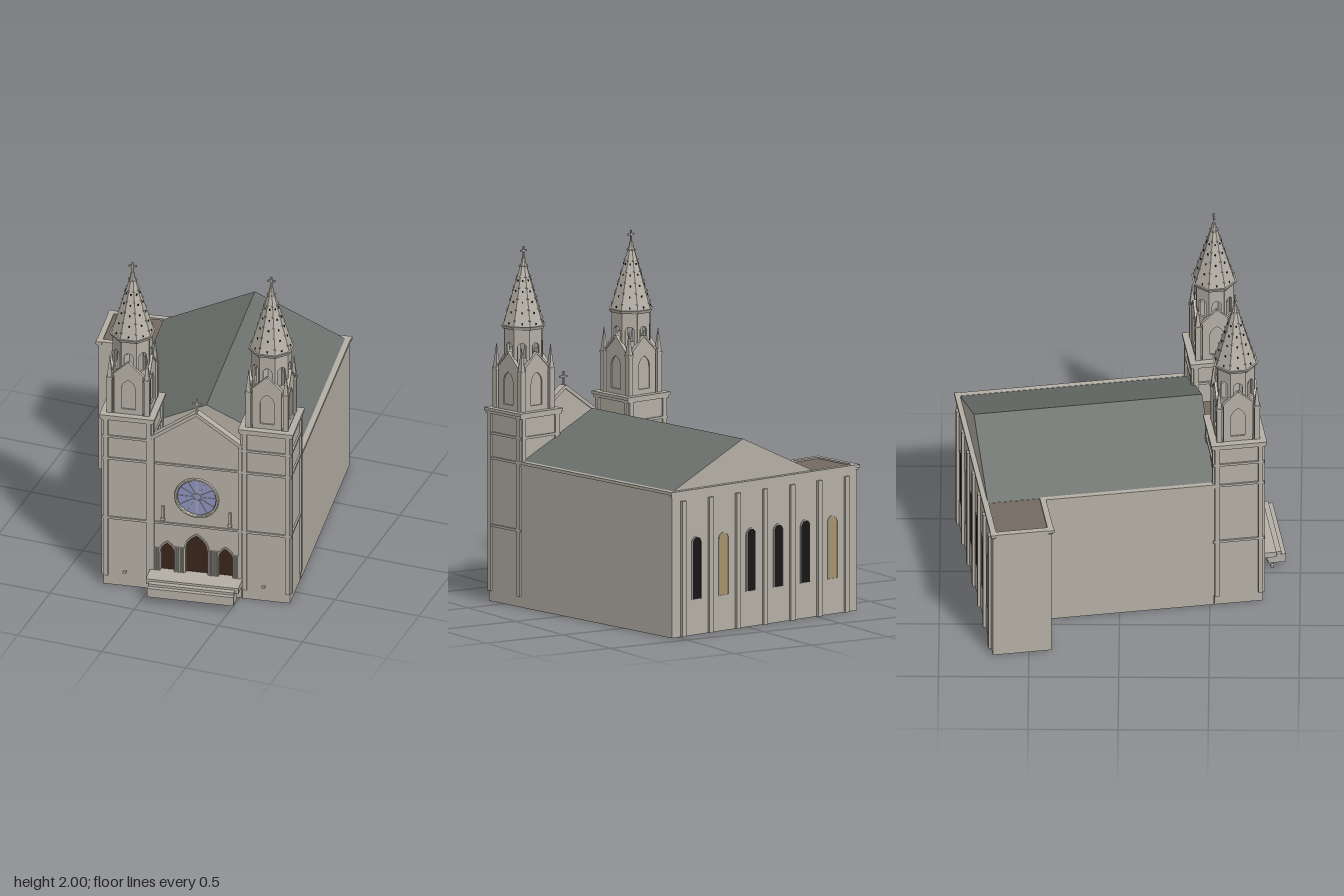
import * as THREE from 'three';

const mat = (color) => new THREE.MeshStandardMaterial({ color, flatShading: true, side: THREE.DoubleSide });
const STONE = mat(0xb5b0a6), ROOF = mat(0x6c716d), FLAT = mat(0x736a60), DOOR = mat(0x3a251c);
const GLASS = mat(0x8d93c0), TAN = mat(0xa8946c), BLACK = mat(0x161616), NICHE = mat(0x9c8f80);
const MID = 0.145, TOWERS = [-0.247, 0.54], TZ = 0.608;

function add(parent, name, geo, m, x = 0, y = 0, z = 0) {
  const mesh = new THREE.Mesh(geo, m);
  mesh.name = name;
  mesh.position.set(x, y, z);
  parent.add(mesh);
  return mesh;
}
// box given by its centre in x and z, and its bottom and top
function box(parent, name, m, x, z, w, d, y0, y1) {
  return add(parent, name, new THREE.BoxGeometry(w, y1 - y0, d), m, x, (y0 + y1) / 2, z);
}
function group(parent, name, x = 0, y = 0, z = 0) {
  const g = new THREE.Group();
  g.name = name;
  g.position.set(x, y, z);
  parent.add(g);
  return g;
}
const poly = (pts) => new THREE.Shape(pts.map(([x, y]) => new THREE.Vector2(x, y)));
const extrude = (shape, depth) => new THREE.ExtrudeGeometry(shape, { depth, bevelEnabled: false, curveSegments: 10 });
// arched outline, round or pointed, standing on (cx, y0)
function arch(w, h, pointed, cx = 0, y0 = 0) {
  const s = new THREE.Shape(), r = w / 2;
  s.moveTo(cx - r, y0);
  s.lineTo(cx + r, y0);
  if (pointed) {
    s.lineTo(cx + r, y0 + h - w * 0.8);
    s.quadraticCurveTo(cx + r, y0 + h - w * 0.25, cx, y0 + h);
    s.quadraticCurveTo(cx - r, y0 + h - w * 0.25, cx - r, y0 + h - w * 0.8);
  } else {
    s.lineTo(cx + r, y0 + h - r);
    s.absarc(cx, y0 + h - r, r, 0, Math.PI, false);
  }
  s.closePath();
  return s;
}
function archFrame(w, h, pointed, t) {
  const s = arch(w + 2 * t, h + t, pointed);
  s.holes.push(arch(w, h - 0.002, pointed, 0, 0.002));
  return s;
}
function cross(parent, x, y, z, h) {
  const g = group(parent, 'cross', x, y, z);
  box(g, 'crossPost', STONE, 0, 0, 0.009, 0.009, 0, h);
  box(g, 'crossArm', STONE, 0, 0, h * 0.65, 0.009, h * 0.6, h * 0.6 + 0.009);
}
function tallWindow(parent, m, x, z, turn) {
  const g = group(parent, 'window', x, 0.2, z);
  g.rotation.y = turn;
  add(g, 'windowPane', extrude(arch(0.062, 0.35), 0.003), m);
  add(g, 'windowFrame', extrude(archFrame(0.062, 0.35, false, 0.006), 0.006), STONE);
}

function buildNave(g) {
  // walls and their cornice, as straight runs [x, z, length, alongX]
  const runs = [[0.0015, -0.81, 1.353, 1], [0.673, -0.17, 1.28, 0], [-0.377, -0.01, 0.96, 0],
    [-0.526, -0.49, 0.298, 1], [-0.67, -0.65, 0.33, 0]];
  for (const [x, z, l, along] of runs) {
    box(g, 'wall', STONE, x, z, along ? l : 0.01, along ? 0.01 : l, 0, 0.8);
    box(g, 'cornice', STONE, x, z, along ? l + 0.014 : 0.02, along ? 0.02 : l + 0.014, 0.795, 0.806);
    box(g, 'corniceTop', STONE, x, z, along ? l + 0.028 : 0.032, along ? 0.032 : l + 0.028, 0.806, 0.823);
  }
  // pitched roof with stone gables, and flat roofs
  const roof = extrude(poly([[-0.372, 0.82], [0.66, 0.82], [MID, 1.06]]), 1.28);
  add(g, 'pitchedRoof', roof, [STONE, ROOF], 0, 0, -0.798);
  box(g, 'wingRoof', FLAT, -0.512, -0.652, 0.29, 0.29, 0.808, 0.815);
  box(g, 'porchRoof', FLAT, MID, 0.6, 0.54, 0.25, 0.808, 0.818);
  // rear pilasters and windows
  for (let i = 0; i < 7; i++) box(g, 'rearPilaster', STONE, 0.6 - i * 0.199, -0.821, 0.03, 0.018, 0, 0.765);
  [BLACK, TAN, BLACK, BLACK, BLACK, TAN].forEach((m, i) => tallWindow(g, m, 0.5 - i * 0.199, -0.815, Math.PI));
  tallWindow(g, TAN, -0.543, -0.485, 0);
}

function buildFacade(g) {
  const f = group(g, 'facade', MID, 0, 0.715);
  const front = poly([[-0.255, 0], [0.255, 0], [0.255, 0.965], [0, 1.145], [-0.255, 0.965]]);
  const rose = new THREE.Path();
  rose.absarc(0, 0.61, 0.113, 0, Math.PI * 2);
  front.holes.push(rose);
  const doors = [[-0.165, 0.08, 0.18], [0, 0.125, 0.245], [0.165, 0.08, 0.18]];
  for (const [x, w, h] of doors) {
    front.holes.push(arch(w, h, true, x, 0.125));
    add(f, 'door', extrude(arch(w + 0.01, h + 0.005, true), 0.006), DOOR, x, 0.125, 0);
    add(f, 'doorFrame', extrude(archFrame(w, h, true, 0.01), 0.012), STONE, x, 0.125, 0.022);
  }
  add(f, 'frontWall', extrude(front, 0.025), STONE);
  // clustered columns between the doors
  for (const s of [-1, 1]) for (const x of [0.072, 0.084, 0.096, 0.108, 0.12, 0.21, 0.222, 0.234])
    add(f, 'portalColumn', new THREE.CylinderGeometry(0.006, 0.006, 0.16, 6), STONE, s * x, x < 0.2 ? 0.205 : 0.19, 0.033);
  // rose window
  const w = group(f, 'roseWindow', 0, 0.61, 0.012);
  add(w, 'roseGlass', new THREE.CircleGeometry(0.115, 32), GLASS);
  add(w, 'roseRim', new THREE.TorusGeometry(0.118, 0.009, 6, 32), STONE, 0, 0, 0.014);
  add(w, 'roseHub', new THREE.TorusGeometry(0.022, 0.003, 5, 14), STONE, 0, 0, 0.003);
  for (let i = 0; i < 12; i++) {
    const a = i * Math.PI / 6;
    const spoke = add(w, 'roseSpoke', new THREE.BoxGeometry(0.092, 0.003, 0.004), STONE, 0.067 * Math.cos(a), 0.067 * Math.sin(a), 0.003);
    spoke.rotation.z = a;
  }
  // string courses, edge pilasters, statues and gable coping
  for (const y of [0.43, 0.81]) box(f, 'stringCourse', STONE, 0, 0.027, 0.51, 0.014, y - 0.006, y + 0.006);
  const slope = Math.atan2(0.18, 0.255);
  for (const s of [-1, 1]) {
    box(f, 'edgePilaster', STONE, s * 0.247, 0.028, 0.018, 0.02, 0.06, 0.965);
    box(f, 'statue', STONE, s * 0.19, 0.031, 0.014, 0.014, 0.465, 0.54);
    box(f, 'statueBase', STONE, s * 0.19, 0.031, 0.022, 0.018, 0.45, 0.465);
    const cope = add(f, 'gableCoping', new THREE.BoxGeometry(0.315, 0.02, 0.045), STONE, s * 0.128, 1.06, 0.015);
    cope.rotation.z = -s * slope;
  }
  cross(f, 0, 1.15, 0.012, 0.085);
  // entrance landing and steps
  box(g, 'landing', STONE, MID, 0.8, 0.525, 0.12, 0.095, 0.128);
  box(g, 'upperStep', STONE, MID, 0.85, 0.485, 0.08, 0.065, 0.115);
  box(g, 'lowerStep', STONE, MID, 0.865, 0.49, 0.1, 0.045, 0.1);
  for (const x of TOWERS) box(g, 'lamp', STONE, x, 0.816, 0.02, 0.02, 0.127, 0.138);
}

function buildTower(g, cx) {
  const t = group(g, 'tower', cx, 0, TZ);
  const H = 0.135;
  const shaft = add(t, 'towerShaft', new THREE.CylinderGeometry(H * Math.SQRT2, H * Math.SQRT2, 1.07, 4, 1, true), STONE, 0, 0.535, 0);
  shaft.rotation.y = Math.PI / 4;
  for (const y of [0.43, 0.81, 0.95]) box(t, 'towerBand', STONE, 0, 0, 0.288, 0.288, y - 0.007, y + 0.007);
  box(t, 'towerDeck', FLAT, 0, 0, 0.26, 0.26, 1.068, 1.076);
  // corner pilasters, cornice and the gabled lower belfry, side by side
  for (let i = 0; i < 4; i++) {
    const s = group(t, 'towerSide');
    s.rotation.y = i * Math.PI / 2;
    for (const x of [-0.122, 0.122]) box(s, 'cornerPilaster', STONE, x, 0.138, 0.026, 0.018, 0.06, 1.068);
    box(s, 'towerCornice', STONE, 0, 0.132, 0.3, 0.036, 1.06, 1.075);
    box(s, 'towerCorniceTop', STONE, 0, 0.137, 0.312, 0.038, 1.075, 1.092);
    const gable = poly([[-0.082, 1.07], [0.082, 1.07], [0.082, 1.335], [0, 1.415], [-0.082, 1.335]]);
    gable.holes.push(arch(0.08, 0.185, true, 0, 1.12));
    add(s, 'belfryGable', extrude(gable, 0.016), STONE, 0, 0, 0.096);
    add(s, 'belfryNiche', extrude(arch(0.09, 0.19, true, 0, 1.115), 0.004), NICHE, 0, 0, 0.096);
    for (const q of [-1, 1]) {
      const cope = add(s, 'belfryCoping', new THREE.BoxGeometry(0.12, 0.01, 0.022), STONE, q * 0.043, 1.375, 0.106);
      cope.rotation.z = -q * Math.atan2(0.08, 0.082);
    }
    // corner pinnacle
    box(s, 'pinnacleShaft', STONE, 0.106, 0.106, 0.03, 0.03, 1.07, 1.31);
    box(s, 'pinnacleCap', STONE, 0.106, 0.106, 0.037, 0.037, 1.31, 1.32);
    add(s, 'pinnacleSpire', new THREE.ConeGeometry(0.02, 0.14, 4), STONE, 0.106, 1.39, 0.106).rotation.y = Math.PI / 4;
  }
  // octagonal open belfry with an arch in each side
  const A = 0.106, half = A * Math.tan(Math.PI / 8);
  for (let i = 0; i < 8; i++) {
    const s = group(t, 'belfryFace');
    s.rotation.y = i * Math.PI / 4;
    const panel = poly([[-half, 1.07], [half, 1.07], [half, 1.55], [-half, 1.55]]);
    panel.holes.push(arch(0.05, 0.115, false, 0, 1.355));
    add(s, 'belfryPanel', extrude(panel, 0.012), STONE, 0, 0, A - 0.014);
    // spire crockets on the ridge and small vents on the face
    for (let k = 0; k < 6; k++) {
      const u = (k + 0.6) / 6.3, r = 0.12 - 0.112 * u, y = 1.562 + 0.37 * u, a = Math.PI / 8;
      add(s, 'crocket', new THREE.OctahedronGeometry(0.008), STONE, r * Math.sin(a), y, r * Math.cos(a));
      if (k < 5) add(s, 'spireVent', new THREE.BoxGeometry(0.008, 0.01, 0.006), BLACK, 0, y - 0.02, (r + 0.006) * Math.cos(a));
    }
  }
  const oct = (name, r0, r1, y0, y1) => {
    add(t, name, new THREE.CylinderGeometry(r1, r0, y1 - y0, 8), STONE, 0, (y0 + y1) / 2, 0).rotation.y = Math.PI / 8;
  };
  oct('spireCornice', 0.122, 0.13, 1.545, 1.563);
  oct('spire', 0.12, 0.008, 1.563, 1.93);
  oct('spireFinial', 0.014, 0.01, 1.92, 1.935);
  cross(t, 0, 1.93, 0, 0.07);
}

export function createModel() {
  const model = new THREE.Group();
  model.name = 'church';
  const g = group(model, 'building');
  g.rotation.y = THREE.MathUtils.degToRad(9);
  buildNave(g);
  buildFacade(g);
  for (const x of TOWERS) buildTower(g, x);
  return model;
}
